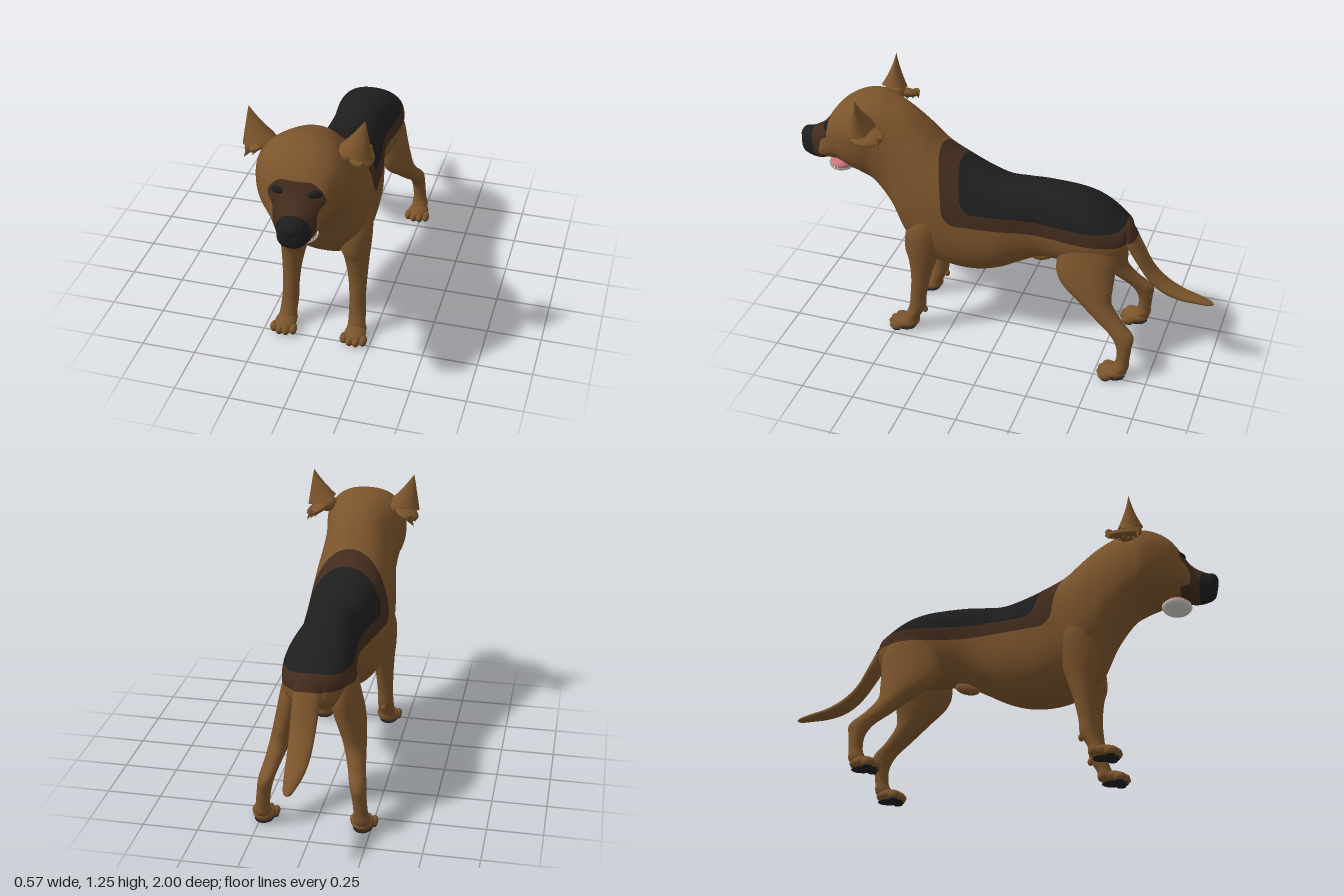
import * as THREE from 'three';

const mat = (name, color, side = THREE.FrontSide) => {
  const m = new THREE.MeshStandardMaterial({ color, side });
  m.name = name;
  return m;
};
const TAN = mat('tan coat', 0x7b542c, THREE.DoubleSide);
const BROWN = mat('dark brown coat', 0x422c1d);
const BLACK = mat('black coat', 0x1e1e1e);
const PINK = mat('pink tongue', 0xc8737c);
const IVORY = mat('ivory jaw', 0xd3d0c6, THREE.DoubleSide);
const MID = 0.01;

// Signed distance to a rounded saddle patch, open at the top and bowed at the front
function saddle(x, y, z, z0, z1, yMin, r) {
  const zb = z + (z > 0 ? 1.5 * (x - 0.02) ** 2 : 0);
  const dz = Math.abs(zb - (z0 + z1) / 2) - (z1 - z0) / 2 + r;
  const dy = yMin + r - y;
  return Math.hypot(Math.max(dz, 0), Math.max(dy, 0)) + Math.min(Math.max(dz, dy), 0) - r;
}

// Coat markings, negative inside: brown mask and saddle rim, then black within them
function brownField(x, y, z) {
  const dx = Math.abs(x - 0.03);
  const w = 0.094 + 0.031 * THREE.MathUtils.smoothstep(y, 0.94, 0.99);
  const top = 1.058 - 12 * Math.max(0, dx - 0.06) ** 2;
  const mask = Math.max(0.825 - z, dx - w, y - top);
  return Math.min(mask, saddle(x, y, z, -0.66, 0.305, 0.65, 0.07));
}
function blackField(x, y, z) {
  const muzzle = Math.max(0.912 + 0.25 * Math.max(0, y - 0.88) - z, y - 0.962);
  return Math.min(muzzle, saddle(x, y, z, -0.6, 0.21, 0.715, 0.06));
}

// Cut triangles along the zero line of a field; returns [inside, outside]
function cut(pos, tris, field) {
  const value = i => field(pos[i * 3], pos[i * 3 + 1], pos[i * 3 + 2]);
  const made = new Map(), parts = [[], []];
  const crossing = (a, b) => {
    const [p, q] = a < b ? [a, b] : [b, a], key = p + '_' + q;
    if (!made.has(key)) {
      const vp = value(p), t = vp / (vp - value(q));
      made.set(key, pos.length / 3);
      for (let k = 0; k < 3; k++) pos.push(pos[p * 3 + k] * (1 - t) + pos[q * 3 + k] * t);
    }
    return made.get(key);
  };
  for (const t of tris) {
    const polys = [[], []], out = t.map(i => (value(i) < 0 ? 0 : 1));
    t.forEach((a, k) => {
      const n = (k + 1) % 3;
      polys[out[k]].push(a);
      if (out[k] !== out[n]) polys.forEach(p => p.push(crossing(a, t[n])));
    });
    polys.forEach((p, s) => {
      for (let k = 2; k < p.length; k++) parts[s].push([p[0], p[k - 1], p[k]]);
    });
  }
  return parts;
}

// Smooth skin through rounded sections. Rows are [position along axis, x centre,
// x radius, other centre, other radius, skew]; skew widens the low side.
// Axis z rows ascend, axis y rows descend, so faces point outward.
function loft(name, rows, axis, steps, segs, power = 2) {
  const c1 = new THREE.CatmullRomCurve3(rows.map(r => new THREE.Vector3(r[0], r[1], r[2])), false, 'catmullrom');
  const c2 = new THREE.CatmullRomCurve3(rows.map(r => new THREE.Vector3(r[3], r[4], r[5] ?? 0)), false, 'catmullrom');
  const bend = v => Math.sign(v) * Math.pow(Math.abs(v), 2 / power);
  const pos = [], tris = [];
  for (let i = 0; i <= steps; i++) {
    const p = c1.getPoint(i / steps), q = c2.getPoint(i / steps);
    for (let j = 0; j < segs; j++) {
      const a = (j / segs) * Math.PI * 2, up = bend(Math.sin(a));
      const x = p.y + Math.max(p.z, 0.0005) * bend(Math.cos(a)) * (1 - q.z * up);
      const o = q.x + Math.max(q.y, 0.0005) * up;
      pos.push(...(axis === 'z' ? [x, o, p.x] : [x, p.x, o]));
      const n = i * segs + j, m = i * segs + (j + 1) % segs;
      if (i < steps) tris.push([n, m, m + segs], [n, m + segs, n + segs]);
    }
  }
  const [marked, tan] = cut(pos, tris, brownField);
  const [black, brown] = cut(pos, marked, blackField);
  const g = new THREE.BufferGeometry();
  g.setAttribute('position', new THREE.Float32BufferAttribute(pos, 3));
  g.setIndex([tan, brown, black].flat(2));
  g.addGroup(0, tan.length * 3, 0);
  g.addGroup(tan.length * 3, brown.length * 3, 1);
  g.addGroup((tan.length + brown.length) * 3, black.length * 3, 2);
  g.computeVertexNormals();
  const m = new THREE.Mesh(g, [TAN, BROWN, BLACK]);
  m.name = name;
  return m;
}

function part(name, geometry, material, p, s = [1, 1, 1], rot = [0, 0, 0]) {
  const m = new THREE.Mesh(geometry, material);
  m.name = name;
  m.position.set(...p);
  m.scale.set(...s);
  m.rotation.set(...rot);
  return m;
}
const BALL = new THREE.SphereGeometry(1, 24, 16);
const blob = (name, material, p, s, rot) => part(name, BALL, material, p, s, rot);

// Foot with four toes and dark pads
function paw(name, x, z) {
  const g = new THREE.Group();
  g.name = name;
  g.add(blob('foot', TAN, [x, 0.035, z - 0.01], [0.05, 0.031, 0.062]));
  g.add(blob('solePad', BLACK, [x, 0.007, z - 0.01], [0.043, 0.007, 0.054]));
  for (let i = 0; i < 4; i++) {
    const k = i - 1.5, tz = z + 0.044 - Math.abs(k) * 0.014;
    g.add(blob('toe', TAN, [x + k * 0.03, 0.025, tz], [0.018, 0.022, 0.03]));
    g.add(blob('toePad', BLACK, [x + k * 0.03, 0.006, tz - 0.003], [0.013, 0.006, 0.021]));
  }
  return g;
}

// Upright pointed ear with a ragged folded flap behind and beneath it
function ear(name, s) {
  const g = new THREE.Group();
  g.name = name;
  const cone = new THREE.ConeGeometry(1, 1, 24, 6, true);
  const p = cone.attributes.position;
  for (let i = 0; i < p.count; i++) {
    const t = p.getY(i) + 0.5, c = p.getX(i), d = p.getZ(i);
    const x = 0.208 * (1 - t) + 0.247 * t + 0.068 * c;
    p.setXYZ(i, MID + s * x, (1.105 - 0.025 * c) * (1 - t) + 1.255 * t, 0.622 + 0.058 * d * (1 - 0.5 * t));
  }
  if (s < 0) cone.setIndex([...cone.index.array].reverse());
  cone.computeVertexNormals();
  g.add(part('earPoint', cone, TAN, [0, 0, 0]));
  g.add(blob('earRoot', TAN, [MID + s * 0.18, 1.09, 0.61], [0.05, 0.04, 0.05]));
  g.add(blob('earFlap', TAN, [MID + s * 0.22, 1.07, 0.59], [0.06, 0.022, 0.085], [0, 0, -s * 0.4]));
  const tuft = new THREE.ConeGeometry(0.018, 0.06, 8);
  for (let i = 0; i < 7; i++) {
    g.add(part('earTuft', tuft, TAN, [MID + s * (0.25 - 0.014 * (i % 3)), 1.05, 0.525 + i * 0.022],
      [1, 1, 1], [0, 0, Math.PI + s * 0.5]));
  }
  return g;
}

export function createModel() {
  const dog = new THREE.Group();
  dog.name = 'dog';

  // Rump, trunk, neck, head and muzzle: [z, x centre, half width, top, bottom, skew]
  const trunk = [
    [-0.6, 0.02, 0, 0.655, 0.655, 0], [-0.588, 0.02, 0.08, 0.71, 0.58, 0],
    [-0.54, 0.02, 0.13, 0.745, 0.54, 0], [-0.45, 0.02, 0.156, 0.805, 0.5, 0],
    [-0.35, 0.02, 0.155, 0.84, 0.48, 0], [-0.2, 0.02, 0.137, 0.855, 0.48, 0],
    [-0.1, 0.02, 0.145, 0.85, 0.435, 0], [0, 0.02, 0.168, 0.845, 0.385, 0.04],
    [0.1, 0.015, 0.183, 0.87, 0.352, 0.05], [0.2, 0.01, 0.195, 0.91, 0.345, 0.06],
    [0.3, 0.01, 0.2, 0.965, 0.365, 0.09], [0.38, 0.008, 0.198, 1.04, 0.41, 0.13],
    [0.45, 0.008, 0.188, 1.1, 0.48, 0.14], [0.52, 0.005, 0.178, 1.135, 0.62, 0.05],
    [0.6, 0, 0.186, 1.158, 0.73, -0.02], [0.66, 0, 0.198, 1.16, 0.775, 0],
    [0.72, 0.005, 0.188, 1.148, 0.8, 0], [0.78, 0.01, 0.163, 1.115, 0.825, 0],
    [0.82, 0.02, 0.138, 1.075, 0.83, 0.03], [0.85, 0.027, 0.112, 1.03, 0.828, 0.1],
    [0.89, 0.034, 0.085, 0.985, 0.815, 0.15], [0.94, 0.04, 0.065, 0.958, 0.818, 0.1],
    [0.98, 0.04, 0.05, 0.942, 0.838, 0], [0.998, 0.04, 0, 0.9, 0.9, 0],
  ].map(([z, c, w, t, b, k]) => [z, c, w, (t + b) / 2, (t - b) / 2, k]);
  dog.add(loft('body', trunk, 'z', 220, 90, 2.35));

  dog.add(loft('tail', [
    [-1, 0.035, 0, 0.366, 0], [-0.98, 0.035, 0.018, 0.368, 0.01],
    [-0.92, 0.035, 0.032, 0.378, 0.016], [-0.85, 0.035, 0.043, 0.39, 0.021],
    [-0.77, 0.035, 0.051, 0.423, 0.03], [-0.7, 0.035, 0.056, 0.485, 0.037],
    [-0.64, 0.033, 0.06, 0.58, 0.055], [-0.59, 0.03, 0.062, 0.66, 0.058],
    [-0.54, 0.025, 0.04, 0.69, 0.03], [-0.52, 0.02, 0, 0.7, 0],
  ], 'z', 50, 32));

  // Legs: [y, side offset, x radius, z centre, z radius]
  const fore = [
    [0.7, 0.135, 0, 0.34, 0], [0.67, 0.137, 0.05, 0.34, 0.05],
    [0.61, 0.138, 0.073, 0.345, 0.08], [0.54, 0.138, 0.077, 0.358, 0.092],
    [0.46, 0.142, 0.069, 0.368, 0.085], [0.4, 0.148, 0.057, 0.37, 0.066],
    [0.3, 0.155, 0.044, 0.38, 0.046], [0.2, 0.158, 0.038, 0.393, 0.039],
    [0.13, 0.16, 0.039, 0.4, 0.04], [0.07, 0.163, 0.04, 0.425, 0.034],
    [0.03, 0.165, 0.043, 0.435, 0.038], [0.012, 0.165, 0, 0.44, 0],
  ];
  const hind = [
    [0.71, 0.1, 0, -0.42, 0], [0.68, 0.1, 0.048, -0.42, 0.085],
    [0.6, 0.107, 0.064, -0.425, 0.13], [0.5, 0.126, 0.066, -0.417, 0.138],
    [0.43, 0.145, 0.06, -0.43, 0.122], [0.36, 0.165, 0.05, -0.475, 0.08],
    [0.29, 0.185, 0.04, -0.545, 0.063], [0.23, 0.203, 0.036, -0.615, 0.056],
    [0.17, 0.213, 0.032, -0.633, 0.036], [0.1, 0.22, 0.032, -0.632, 0.031],
    [0.05, 0.224, 0.038, -0.62, 0.038], [0.012, 0.225, 0, -0.61, 0],
  ];
  for (const s of [1, -1]) {
    const side = s > 0 ? 'left' : 'right';
    const place = rows => rows.map(([y, c, ...r]) => [y, MID + s * c, ...r]);
    dog.add(loft(side + 'ForeLeg', place(fore), 'y', 70, 32));
    dog.add(loft(side + 'HindLeg', place(hind), 'y', 90, 40));
    dog.add(paw(side + 'ForePaw', MID + s * 0.166, 0.475));
    dog.add(paw(side + 'HindPaw', MID + s * 0.223, -0.583));
    dog.add(blob(side + 'DewClaw', TAN, [MID + s * 0.155, 0.115, 0.365], [0.014, 0.018, 0.014]));
    dog.add(ear(side + 'Ear', s));
    dog.add(blob(side + 'Eye', BLACK, [0.027 + s * 0.08, 1.012, 0.836], [0.034, 0.018, 0.016], [0.2, s * 0.5, -s * 0.15]));
  }

  // Nose, hollow lower jaw with teeth, and tongue
  dog.add(blob('nose', BLACK, [0.04, 0.918, 0.965], [0.044, 0.036, 0.034]));
  const bowl = new THREE.SphereGeometry(1, 32, 12, 0, Math.PI * 2, Math.PI / 2, Math.PI / 2);
  dog.add(part('lowerJaw', bowl, IVORY, [0.02, 0.791, 0.802], [0.086, 0.036, 0.07], [0.05, 0, 0]));
  dog.add(blob('tongue', PINK, [0.023, 0.794, 0.803], [0.078, 0.031, 0.062], [0.05, 0, 0]));
  const tooth = new THREE.ConeGeometry(0.005, 0.016, 6);
  for (let i = 0; i <= 12; i++) {
    const a = (i / 12) * Math.PI;
    dog.add(part('tooth', tooth, IVORY, [0.02 + 0.081 * Math.cos(a), 0.794, 0.802 + 0.065 * Math.sin(a)]));
  }

  // Sheath under the belly
  dog.add(blob('sheath', TAN, [0.02, 0.458, -0.18], [0.025, 0.028, 0.06], [0.3, 0, 0]));
  return dog;
}
